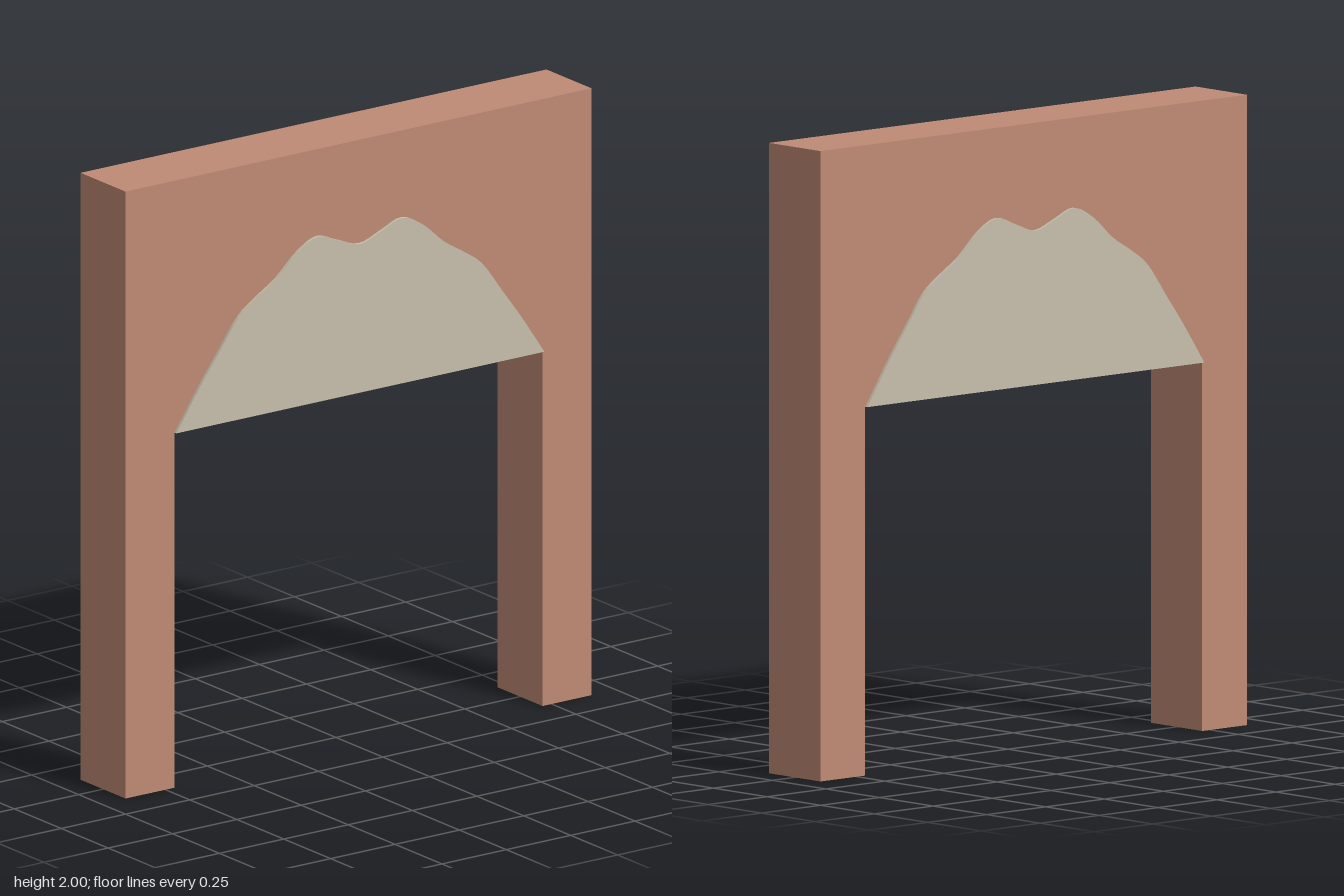
import * as THREE from 'three';

const HALF_WIDTH = 0.905, HEIGHT = 2, DEPTH = 0.24;
const SPRING = 1.17; // height where the arch starts
const PANEL_FACE = 0.13, PANEL_THICKNESS = 0.055;

// Right half of the scalloped arch, from the spring point to the centre dip
const HALF_ARCH = [
  [0.715, SPRING], [0.627, 1.30], [0.553, 1.40], [0.475, 1.505], [0.405, 1.557],
  [0.325, 1.607], [0.245, 1.677], [0.165, 1.715], [0.085, 1.688], [0, 1.66],
];

// Whole arch outline, mirrored about x = 0 and smoothed
function archPoints() {
  const right = HALF_ARCH.map(([x, y]) => new THREE.Vector2(x, y));
  const left = HALF_ARCH.slice(0, -1).reverse().map(([x, y]) => new THREE.Vector2(-x, y));
  return new THREE.SplineCurve([...right, ...left]).getPoints(72);
}

function extrude(points, depth, color, name) {
  const geometry = new THREE.ExtrudeGeometry(new THREE.Shape(points), { depth, bevelEnabled: false });
  const mesh = new THREE.Mesh(geometry, new THREE.MeshStandardMaterial({ color }));
  mesh.name = name;
  return mesh;
}

export function createModel() {
  const group = new THREE.Group();
  group.name = 'archway';
  const arch = archPoints();
  const inner = HALF_ARCH[0][0];
  const v = (x, y) => new THREE.Vector2(x, y);

  // Wall with two legs and the arched opening
  const frame = extrude([
    v(-HALF_WIDTH, 0), v(-inner, 0), ...[...arch].reverse(), v(inner, 0),
    v(HALF_WIDTH, 0), v(HALF_WIDTH, HEIGHT), v(-HALF_WIDTH, HEIGHT),
  ], DEPTH, 0xbf8b75, 'frame');
  frame.position.z = -DEPTH / 2;
  group.add(frame);

  // Thin panels filling the arch on both faces, hollow between
  for (const [name, z] of [['frontPanel', PANEL_FACE - PANEL_THICKNESS], ['backPanel', -PANEL_FACE]]) {
    const panel = extrude(arch, PANEL_THICKNESS, 0xc8c0ad, name);
    panel.position.z = z;
    group.add(panel);
  }
  return group;
}
